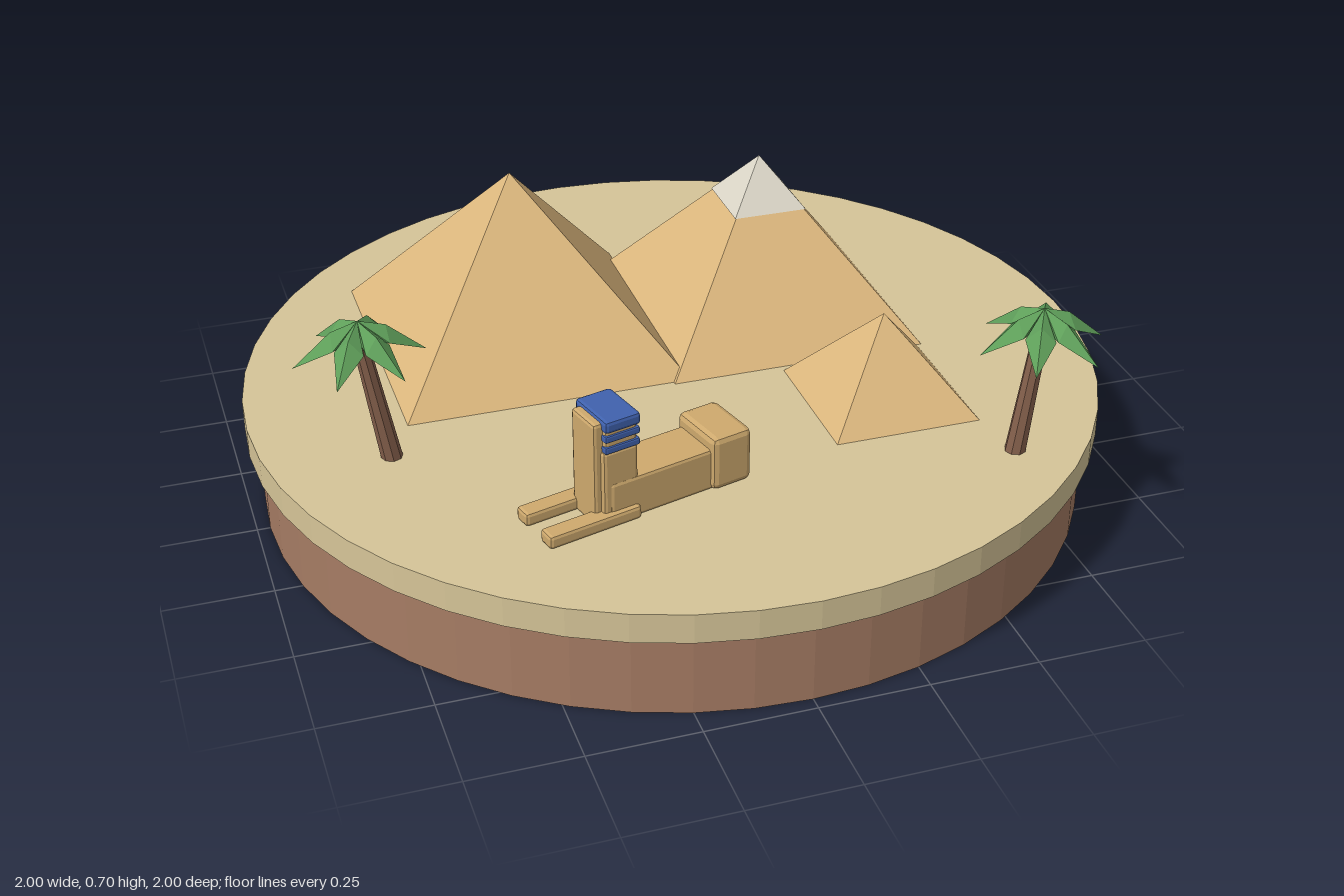
import * as THREE from 'three';
import { RoundedBoxGeometry } from 'three/addons/geometries/RoundedBoxGeometry.js';

const GROUND = 0.27;

function material(name, color, extra = {}) {
  const m = new THREE.MeshStandardMaterial({ color, flatShading: true, ...extra });
  m.name = name;
  return m;
}

export function createModel() {
  const sand = material('sand', 0xd6c598);
  const earth = material('earth', 0xa67c64);
  const stone = material('pyramid stone', 0xdeb97f);
  const limestone = material('limestone cap', 0xdcd7c8);
  const statueStone = material('statue stone', 0xcfaa6e);
  const blue = material('headdress blue', 0x4062ae);
  const bark = material('bark', 0x85604c);
  const leafGreen = material('leaf green', 0x5f9f5a, { side: THREE.DoubleSide });

  const model = new THREE.Group();
  model.name = 'desertDiorama';

  function add(parent, name, geometry, mat, x = 0, y = 0, z = 0) {
    const mesh = new THREE.Mesh(geometry, mat);
    mesh.name = name;
    mesh.position.set(x, y, z);
    parent.add(mesh);
    return mesh;
  }

  // Round base: earth below, wider sand slab on top
  add(model, 'earthBase', new THREE.CylinderGeometry(0.97, 0.97, 0.2, 48), earth, 0, 0.1, 0);
  add(model, 'sandSlab', new THREE.CylinderGeometry(1, 1, 0.07, 48), sand, 0, 0.235, 0);

  // Square pyramid standing on its base at y
  function pyramid(name, side, height, mat, x, y, z) {
    const g = new THREE.ConeGeometry(side / Math.SQRT2, height, 4);
    g.rotateY(Math.PI / 4);
    return add(model, name, g, mat, x, y + height / 2, z);
  }
  pyramid('largePyramid', 0.672, 0.43, stone, -0.315, GROUND, -0.245);
  pyramid('middlePyramid', 0.62, 0.4, stone, 0.29, GROUND, -0.21);
  pyramid('pyramidCap', 0.178, 0.115, limestone, 0.29, 0.56, -0.21);
  pyramid('smallPyramid', 0.345, 0.215, stone, 0.415, GROUND, 0.29);

  // Reclining statue, facing local -x
  const statue = new THREE.Group();
  statue.name = 'recliningStatue';
  statue.position.set(-0.313, GROUND, 0.548);
  statue.rotation.y = 0.265;
  model.add(statue);

  // Bevelled block given by its x, y ranges and its width about z
  function block(name, x0, x1, y0, y1, width, mat, z = 0, bevel = 0.008) {
    const g = new RoundedBoxGeometry(x1 - x0, y1 - y0, width, 1, bevel);
    return add(statue, name, g, mat, (x0 + x1) / 2, (y0 + y1) / 2, z);
  }
  block('body', -0.03, 0.25, 0, 0.1, 0.12, statueStone);
  block('haunches', 0.22, 0.32, 0, 0.13, 0.145, statueStone, 0, 0.014);
  for (const s of [-1, 1]) block('frontPaw', -0.185, 0.04, 0, 0.032, 0.044, statueStone, s * 0.05);
  block('chest', -0.045, 0.04, 0, 0.18, 0.115, statueStone);
  block('head', -0.04, 0.038, 0.15, 0.25, 0.113, statueStone);
  block('face', -0.062, -0.03, 0, 0.247, 0.09, statueStone);
  block('headdressTop', -0.042, 0.045, 0.226, 0.255, 0.124, blue);
  for (const y of [0.177, 0.204]) {
    block('headdressStripe', -0.042, 0.043, y, y + 0.017, 0.122, blue, 0, 0.004);
  }

  // One drooping frond along +x, folded over a central ridge
  const p = {
    root: [0, 0.04, 0], ridge: [0.06, 0.022, 0], tip: [0.146, -0.052, 0],
    left: [0.062, -0.008, 0.033], right: [0.062, -0.008, -0.033], under: [0.06, -0.02, 0],
    stem: [0, -0.005, 0],
  };
  const faces = [];
  for (const [side, flip] of [['left', false], ['right', true]]) {
    for (const f of [['root', side, 'ridge'], ['ridge', side, 'tip'],
      ['stem', 'under', side], ['under', 'tip', side], ['root', 'stem', side]]) {
      faces.push(...(flip ? [f[0], f[2], f[1]] : f));
    }
  }
  const frondGeometry = new THREE.BufferGeometry();
  frondGeometry.setAttribute('position',
    new THREE.Float32BufferAttribute(faces.flatMap((k) => p[k]), 3));
  frondGeometry.computeVertexNormals();

  // Palm with a leaning trunk and six fronds
  function palm(name, baseX, topX, z, turn) {
    const tree = new THREE.Group();
    tree.name = name;
    model.add(tree);
    const foot = new THREE.Vector3(baseX, GROUND - 0.004, z);
    const top = new THREE.Vector3(topX, 0.585, z);
    const dir = top.clone().sub(foot);
    const mid = foot.clone().add(top).multiplyScalar(0.5);
    const trunk = add(tree, 'trunk', new THREE.CylinderGeometry(0.017, 0.024, dir.length(), 8), bark,
      mid.x, mid.y, mid.z);
    trunk.quaternion.setFromUnitVectors(new THREE.Vector3(0, 1, 0), dir.normalize());
    for (let i = 0; i < 6; i++) {
      const frond = add(tree, 'frond', frondGeometry, leafGreen, topX, 0.58, z);
      frond.rotation.y = turn + (i * Math.PI) / 3;
    }
  }
  palm('leftPalm', 0.61, 0.652, 0.6, 0);
  palm('rightPalm', -0.71, -0.765, 0.205, 0);

  return model;
}
